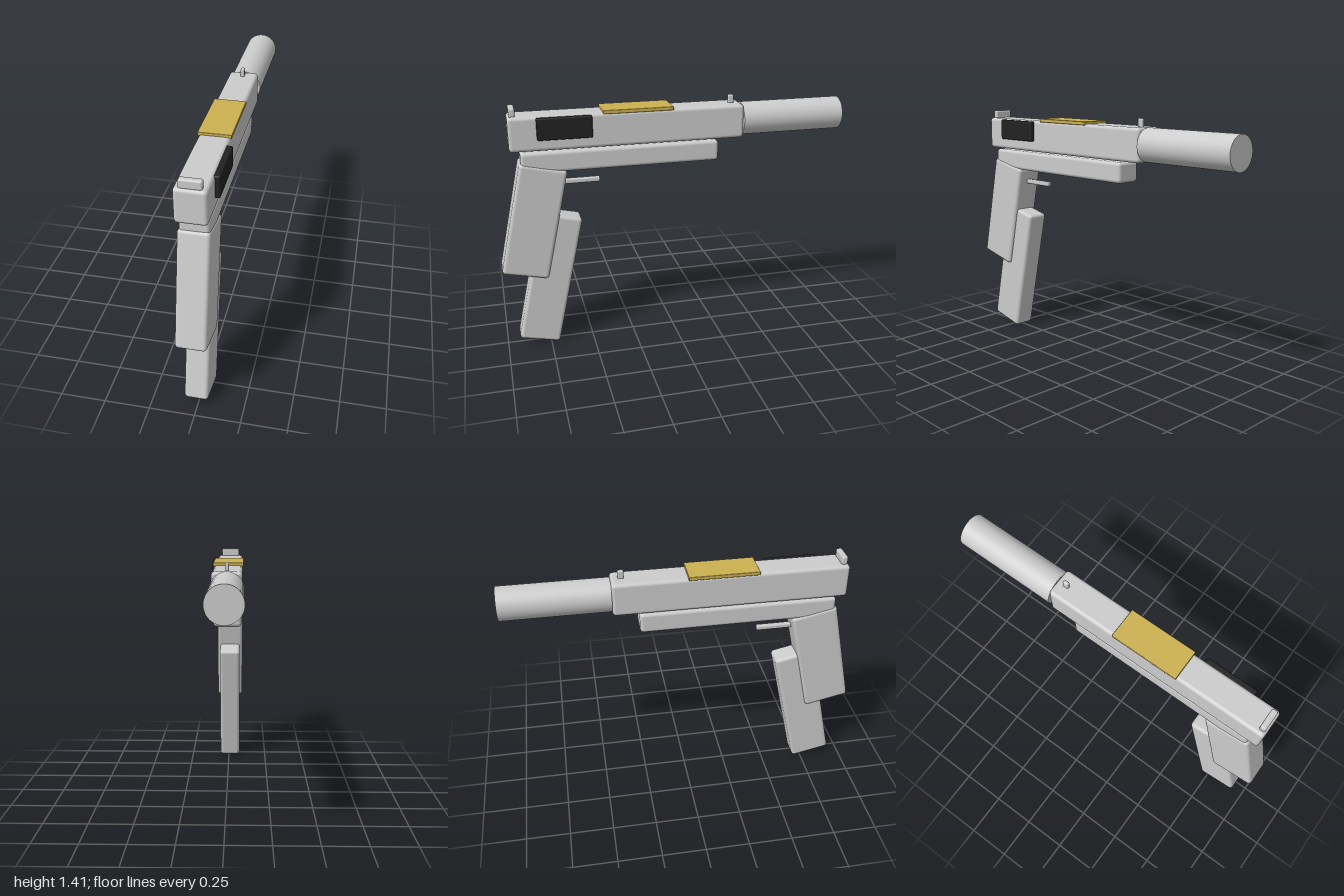
import * as THREE from 'three';
import { RoundedBoxGeometry } from 'three/addons/geometries/RoundedBoxGeometry.js';

export function createModel() {
  const model = new THREE.Group();
  model.name = 'toyPistol';
  const material = (name, color) => {
    const m = new THREE.MeshStandardMaterial({ color });
    m.name = name;
    return m;
  };
  const grey = material('lightGrey', 0xcccccc);
  const gold = material('gold', 0xccb050);
  const black = material('black', 0x222222);
  const mid = -0.0075; // centre line of the body

  // Soft-edged block: size, centre, edge radius and tilt about x
  function block(name, mat, [w, h, d], [x, y, z], radius = 0.02, tilt = 0) {
    const mesh = new THREE.Mesh(new RoundedBoxGeometry(w, h, d, 3, radius), mat);
    mesh.name = name;
    mesh.position.set(x, y, z);
    mesh.rotation.x = tilt;
    model.add(mesh);
    return mesh;
  }

  // Upper body and lower frame
  block('slide', grey, [0.165, 0.19, 1.31], [mid, 1.27, 0.255]);
  block('frame', grey, [0.152, 0.118, 1.11], [mid, 1.109, 0.3]);

  // Slanted handle and the magazine below it
  const slant = -0.216;
  block('grip', grey, [0.165, 0.65, 0.265], [mid, 0.764, 0.804], 0.02, slant);
  block('magazine', grey, [0.13, 0.785, 0.236], [mid, 0.404, 0.7325], 0.02, slant);

  // Trigger bar
  block('trigger', grey, [0.03, 0.028, 0.24], [mid, 0.972, 0.54], 0.008);

  // Sights
  block('rearSight', grey, [0.115, 0.05, 0.034], [mid, 1.385, 0.882], 0.01);
  block('frontSight', grey, [0.022, 0.05, 0.034], [mid, 1.385, -0.343], 0.008);

  // Top plate and side panel
  block('topPlate', gold, [0.176, 0.021, 0.39], [mid, 1.369, 0.206], 0.004);
  block('sidePanel', black, [0.034, 0.12, 0.297], [0.083, 1.299, 0.612], 0.008);

  // Barrel
  const barrel = new THREE.Mesh(new THREE.CylinderGeometry(0.0935, 0.0935, 0.6, 48), grey);
  barrel.name = 'barrel';
  barrel.rotation.x = Math.PI / 2;
  barrel.position.set(mid, 1.27, -0.7);
  model.add(barrel);

  return model;
}
